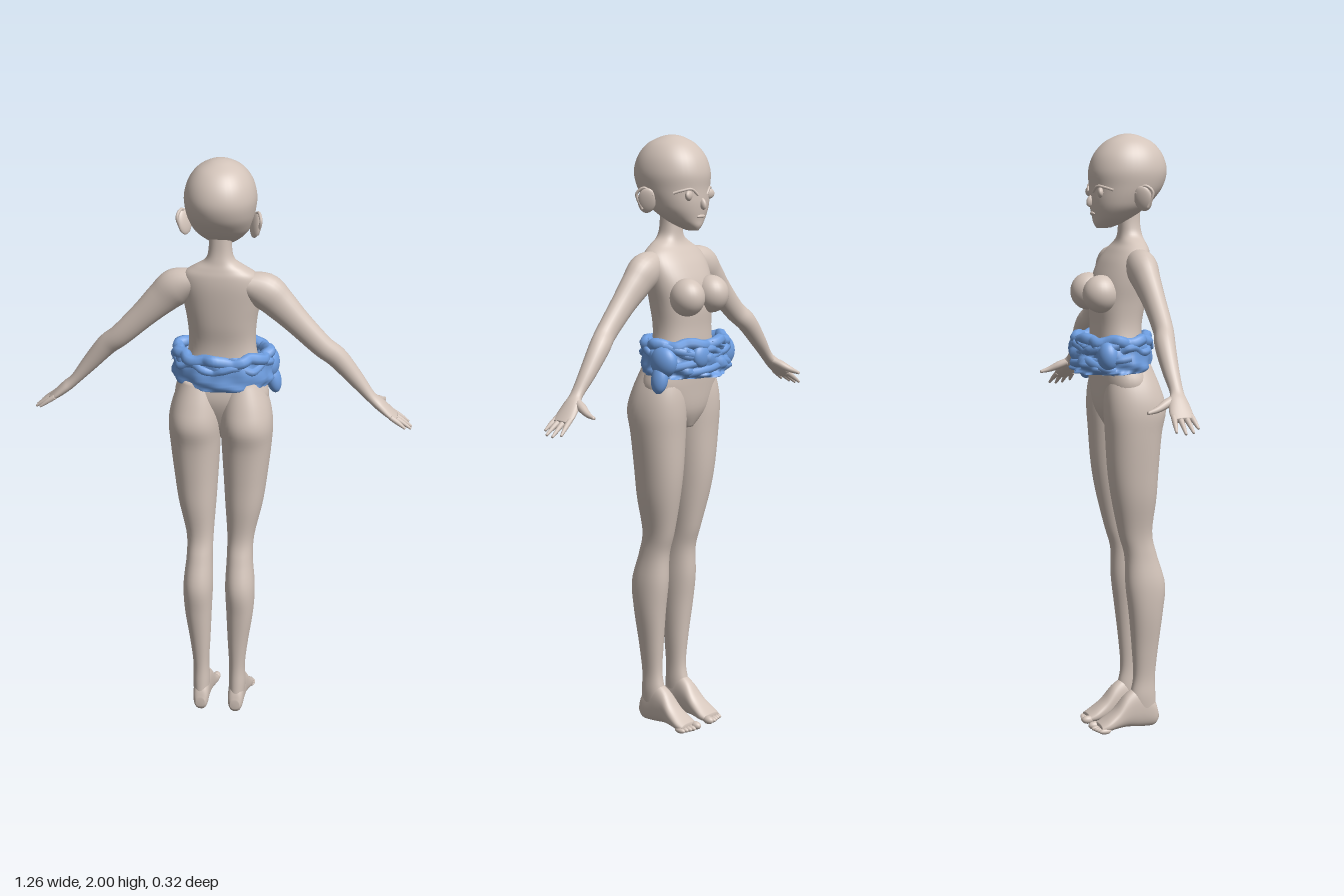
import * as THREE from 'three';
import { mergeVertices } from 'three/addons/utils/BufferGeometryUtils.js';

const skin = new THREE.MeshStandardMaterial({ color: 0xd3c4ba });
skin.name = 'skin';
const cloth = new THREE.MeshStandardMaterial({ color: 0x6f9fe2 });
cloth.name = 'blue cloth';
const V = (x, y, z) => new THREE.Vector3(x, y, z);

// Closed smooth surface from a grid of points; faces are turned outward by volume sign.
function surface(fn, nu, nv) {
  const pos = [], idx = [];
  for (let j = 0; j <= nv; j++)
    for (let i = 0; i <= nu; i++) pos.push(...fn((i % nu) / nu, j / nv).toArray());
  const at = k => V(pos[3 * k], pos[3 * k + 1], pos[3 * k + 2]);
  let volume = 0;
  const tri = (a, b, c) => {
    idx.push(a, b, c);
    volume += at(a).dot(at(b).cross(at(c)));
  };
  for (let j = 0; j < nv; j++)
    for (let i = 0; i < nu; i++) {
      const a = j * (nu + 1) + i, b = a + 1, c = a + nu + 1, d = c + 1;
      tri(a, b, d);
      tri(a, d, c);
    }
  if (volume < 0) idx.reverse();
  let g = new THREE.BufferGeometry();
  g.setAttribute('position', new THREE.Float32BufferAttribute(pos, 3));
  g.setIndex(idx);
  g = mergeVertices(g, 1e-5);
  g.computeVertexNormals();
  return g;
}

// Smooth interpolation through rows of numbers.
function sample(rows, t) {
  const n = rows.length - 1, f = t * n, i = Math.min(Math.floor(f), n - 1), k = f - i;
  const row = q => rows[Math.max(0, Math.min(n, q))];
  return rows[0].map((_, c) => {
    const [a, b, d, e] = [i - 1, i, i + 1, i + 2].map(q => row(q)[c]);
    return b + 0.5 * k * (d - a + k * (2 * a - 5 * b + 4 * d - e + k * (3 * (b - d) + e - a)));
  });
}

// Rows are [position, min x, max x, min, max]; axis 'y' stacks upward, 'z' runs front to back.
function stack(rows, axis, s = 1, power = 0.92, nu = 40) {
  const nv = rows.length * 5, pw = v => Math.sign(v) * Math.abs(v) ** power;
  return surface((u, v) => {
    const end = v === 0 || v === 1 ? 0 : 1;
    const t = Math.min(1, Math.max(0, (v * nv - 1) / (nv - 2)));
    const [p, x0, x1, q0, q1] = sample(rows, t), a = u * Math.PI * 2;
    const x = s * ((x0 + x1) / 2 + end * (x1 - x0) / 2 * pw(Math.cos(a)));
    const q = (q0 + q1) / 2 + end * (q1 - q0) / 2 * pw(Math.sin(a));
    return axis === 'y' ? V(x, p, q) : V(x, q, p);
  }, nu, nv);
}

// Limb rows are [x, y, z, radius across, radius in depth].
function limb(rows, s = 1, nu = 24) {
  const nv = rows.length * 5;
  return surface((u, v) => {
    const end = v === 0 || v === 1 ? 0 : 1;
    const t = Math.min(1, Math.max(0, (v * nv - 1) / (nv - 2)));
    const [x, y, z, r, d] = sample(rows, t);
    const lo = sample(rows, Math.max(0, t - 0.02)), hi = sample(rows, Math.min(1, t + 0.02));
    const dir = V(hi[0] - lo[0], hi[1] - lo[1], hi[2] - lo[2]).normalize();
    const side = Math.abs(dir.z) > 0.7 ? V(0, 1, 0) : V(-dir.y, dir.x, 0).normalize();
    const depth = dir.clone().cross(side).normalize();
    const p = V(x, y, z).addScaledVector(side, end * r * Math.cos(u * Math.PI * 2))
      .addScaledVector(depth, end * d * Math.sin(u * Math.PI * 2));
    p.x *= s;
    return p;
  }, nu, nv);
}

function add(parent, name, geometry, material = skin) {
  const m = new THREE.Mesh(geometry, material);
  m.name = name;
  parent.add(m);
  return m;
}
function ball(parent, name, p, r, material = skin) {
  const m = add(parent, name, new THREE.SphereGeometry(1, 28, 20), material);
  m.position.set(...p);
  m.scale.set(...r);
  return m;
}
const tube = (pts, r, closed = false, n = 24) =>
  new THREE.TubeGeometry(new THREE.CatmullRomCurve3(pts.map(p => V(...p)), closed), n, r, 8, closed);
const even = rows => rows.map(([y, h, f, b]) => [y, -h, h, f, b]);

function buildHead(root) {
  const head = new THREE.Group();
  head.name = 'head';
  root.add(head);
  add(head, 'skull', stack(even([
    [1.695, 0.014, -0.078, -0.03], [1.71, 0.036, -0.087, 0.01], [1.73, 0.062, -0.09, 0.045],
    [1.76, 0.087, -0.095, 0.088], [1.79, 0.1, -0.098, 0.118], [1.83, 0.11, -0.098, 0.147],
    [1.88, 0.115, -0.1, 0.16], [1.93, 0.103, -0.084, 0.147], [1.97, 0.075, -0.05, 0.115],
    [1.993, 0.037, -0.008, 0.07], [2.0, 0.01, 0.02, 0.04]]), 'y', 1, 0.96));
  const nose = ball(head, 'nose', [0, 1.783, -0.099], [0.009, 0.02, 0.013]);
  nose.rotation.x = 0.35;
  ball(head, 'lips', [0, 1.742, -0.092], [0.02, 0.006, 0.006]);
  for (const s of [-1, 1]) {
    const eye = ball(head, 'eye', [s * 0.048, 1.812, -0.081], [0.024, 0.018, 0.011]);
    eye.rotation.y = s * 0.4;
    add(head, 'upperLid', tube([[s * 0.022, 1.812, -0.098], [s * 0.045, 1.832, -0.09],
      [s * 0.072, 1.828, -0.072], [s * 0.093, 1.82, -0.052]], 0.0045));
    const ear = ball(head, 'ear', [s * 0.113, 1.793, 0.042], [0.011, 0.042, 0.03]);
    ear.rotation.set(-0.15, s * 0.6, s * -0.15);
    add(head, 'earRim', tube([[s * 0.107, 1.81, 0.02], [s * 0.123, 1.834, 0.045],
      [s * 0.133, 1.815, 0.068], [s * 0.121, 1.765, 0.055]], 0.005));
  }
}

function buildArm(root, s) {
  const arm = new THREE.Group();
  arm.name = s > 0 ? 'armAtPositiveX' : 'armAtNegativeX';
  root.add(arm);
  add(arm, 'armAndPalm', limb([
    [0.07, 1.595, 0.035, 0.035, 0.04], [0.14, 1.568, 0.028, 0.06, 0.05],
    [0.19, 1.525, 0.028, 0.054, 0.043], [0.25, 1.466, 0.03, 0.044, 0.036],
    [0.33, 1.387, 0.028, 0.037, 0.032], [0.38, 1.343, 0.015, 0.035, 0.033],
    [0.44, 1.272, 0.01, 0.027, 0.027], [0.49, 1.212, 0.01, 0.018, 0.022],
    [0.52, 1.183, 0.004, 0.018, 0.032], [0.555, 1.152, 0, 0.014, 0.038],
    [0.577, 1.135, 0, 0.01, 0.034]], s));
  // Four fingers and the thumb
  [[0.028, 0.61, 1.112, 0.035], [0.01, 0.628, 1.103, 0.012], [-0.009, 0.628, 1.1, -0.013],
    [-0.027, 0.617, 1.105, -0.04]].forEach(([z, x, y, tz]) =>
    add(arm, 'finger', limb([[0.56, 1.147, z, 0.009, 0.01],
      [(0.56 + x) / 2, (1.149 + y) / 2, (z + tz) / 2, 0.008, 0.008], [x, y, tz, 0.004, 0.004]], s, 12)));
  add(arm, 'thumb', limb([[0.507, 1.192, -0.006, 0.014, 0.014], [0.518, 1.178, -0.04, 0.015, 0.015],
    [0.528, 1.164, -0.072, 0.01, 0.01], [0.532, 1.156, -0.102, 0.005, 0.005]], s, 14));
}

function buildLeg(root, s) {
  const leg = new THREE.Group();
  leg.name = s > 0 ? 'legAtPositiveX' : 'legAtNegativeX';
  root.add(leg);
  add(leg, 'thighAndCalf', stack([
    [1.25, 0.02, 0.13, -0.06, 0.08], [1.17, 0.004, 0.161, -0.076, 0.111],
    [1.1, 0, 0.173, -0.08, 0.128], [1.02, 0.003, 0.169, -0.075, 0.114],
    [0.9, 0.01, 0.156, -0.067, 0.105], [0.8, 0.016, 0.142, -0.052, 0.1],
    [0.68, 0.024, 0.116, -0.025, 0.09], [0.6, 0.025, 0.113, -0.003, 0.108],
    [0.5, 0.022, 0.122, 0, 0.136], [0.4, 0.026, 0.118, 0.012, 0.128],
    [0.28, 0.031, 0.101, 0.024, 0.115], [0.18, 0.036, 0.09, 0.03, 0.106],
    [0.11, 0.034, 0.092, 0.018, 0.108], [0.05, 0.036, 0.088, 0.02, 0.112]], 'y', s));
  add(leg, 'foot', stack([
    [0.117, 0.045, 0.077, 0.022, 0.055], [0.1, 0.035, 0.087, 0.004, 0.1],
    [0.05, 0.033, 0.091, 0.004, 0.14], [0.005, 0.029, 0.094, 0.008, 0.122],
    [-0.035, 0.024, 0.101, 0.006, 0.074], [-0.07, 0.02, 0.105, 0.002, 0.045],
    [-0.096, 0.024, 0.1, 0.003, 0.028]], 'z', s, 0.85));
  for (let i = 0; i < 5; i++) {
    const r = i ? 0.0095 : 0.014;
    ball(leg, 'toe', [s * (i ? 0.04 + i * 0.0145 : 0.034), r, -0.101 + i * 0.004], [r, r, 0.021]);
  }
}

function buildWrap(root) {
  const wrap = new THREE.Group();
  wrap.name = 'waistWrap';
  root.add(wrap);
  // Point on the waist oval; angle 0 is +x, a quarter turn is the -z side
  const oval = (a, y, out) => [Math.cos(a) * (0.152 + out), y, -0.025 - Math.sin(a) * (0.112 + out)];
  // Folded band: plain on the +z side, creased elsewhere
  add(wrap, 'band', surface((u, v) => {
    const a = u * Math.PI * 2, q = v * Math.PI * 2, crease = 0.35 + 0.65 * Math.max(0, Math.sin(a) + 0.4);
    const fold = crease * (0.009 * Math.sin(5 * a + 7 * Math.sin(q)) + 0.006 * Math.sin(13 * a - 4 * Math.cos(q)));
    const h = Math.sign(Math.sin(q)) * Math.abs(Math.sin(q)) ** 0.7;
    const y = 1.285 + 0.058 * h - 0.008 * Math.max(0, Math.sin(a)) + 0.005 * Math.sin(9 * a) * Math.max(0, h);
    return V(...oval(a, y, 0.012 * Math.cos(q) - 0.004 * h + fold));
  }, 128, 28), cloth);
  // Crumpled rolls running round the waist
  [[1.33, 0.008, 0.02, 0.006, 1], [1.305, 0.014, 0.014, 0.01, 4]].forEach(([y, out, r, wave, k]) => {
    const pts = Array.from({ length: 30 }, (_, i) => {
      const a = i / 30 * Math.PI * 2;
      return oval(a, y + wave * Math.sin(7 * a + k), out - 0.01 + 0.006 * Math.sin(11 * a + k));
    });
    add(wrap, 'roll', tube(pts, r, true, 120), cloth);
  });
  // Folds crossing over the -z side
  [[0.2, 1.25, 2.9, 1.32], [0.3, 1.33, 2.8, 1.235], [0.9, 1.24, 3.2, 1.28]].forEach(([a0, y0, a1, y1]) => {
    const pts = Array.from({ length: 9 }, (_, i) => {
      const t = i / 8;
      return oval(a0 + (a1 - a0) * t, y0 + (y1 - y0) * t, 0.004 + 0.006 * Math.sin(t * 9));
    });
    add(wrap, 'fold', tube(pts, 0.015, false, 48), cloth);
  });
  // Gathered bunches and the loose end
  ball(wrap, 'knot', [0.05, 1.295, -0.135], [0.04, 0.04, 0.022], cloth).rotation.z = 0.5;
  ball(wrap, 'bunch', [-0.13, 1.285, -0.085], [0.04, 0.05, 0.035], cloth);
  ball(wrap, 'bunch', [0.15, 1.28, -0.06], [0.034, 0.052, 0.05], cloth);
  ball(wrap, 'looseEnd', [0.165, 1.225, -0.055], [0.025, 0.05, 0.03], cloth).rotation.z = 0.2;
}

export function createModel() {
  const root = new THREE.Group();
  root.name = 'figure';
  add(root, 'torsoAndNeck', stack(even([
    [1.04, 0.03, -0.05, 0.03], [1.1, 0.11, -0.077, 0.06], [1.18, 0.155, -0.086, 0.085],
    [1.25, 0.14, -0.09, 0.08], [1.32, 0.117, -0.092, 0.068], [1.38, 0.109, -0.092, 0.068],
    [1.45, 0.114, -0.095, 0.08], [1.52, 0.125, -0.085, 0.088], [1.58, 0.13, -0.058, 0.092],
    [1.62, 0.118, -0.03, 0.09], [1.645, 0.085, -0.01, 0.084], [1.67, 0.048, -0.002, 0.077],
    [1.71, 0.037, 0, 0.071], [1.78, 0.036, 0, 0.07]]), 'y', 1, 0.88));
  buildHead(root);
  for (const s of [-1, 1]) {
    ball(root, 'chest', [s * 0.062, 1.483, -0.085], [0.056, 0.062, 0.061]);
    buildArm(root, s);
    buildLeg(root, s);
  }
  buildWrap(root);
  return root;
}
